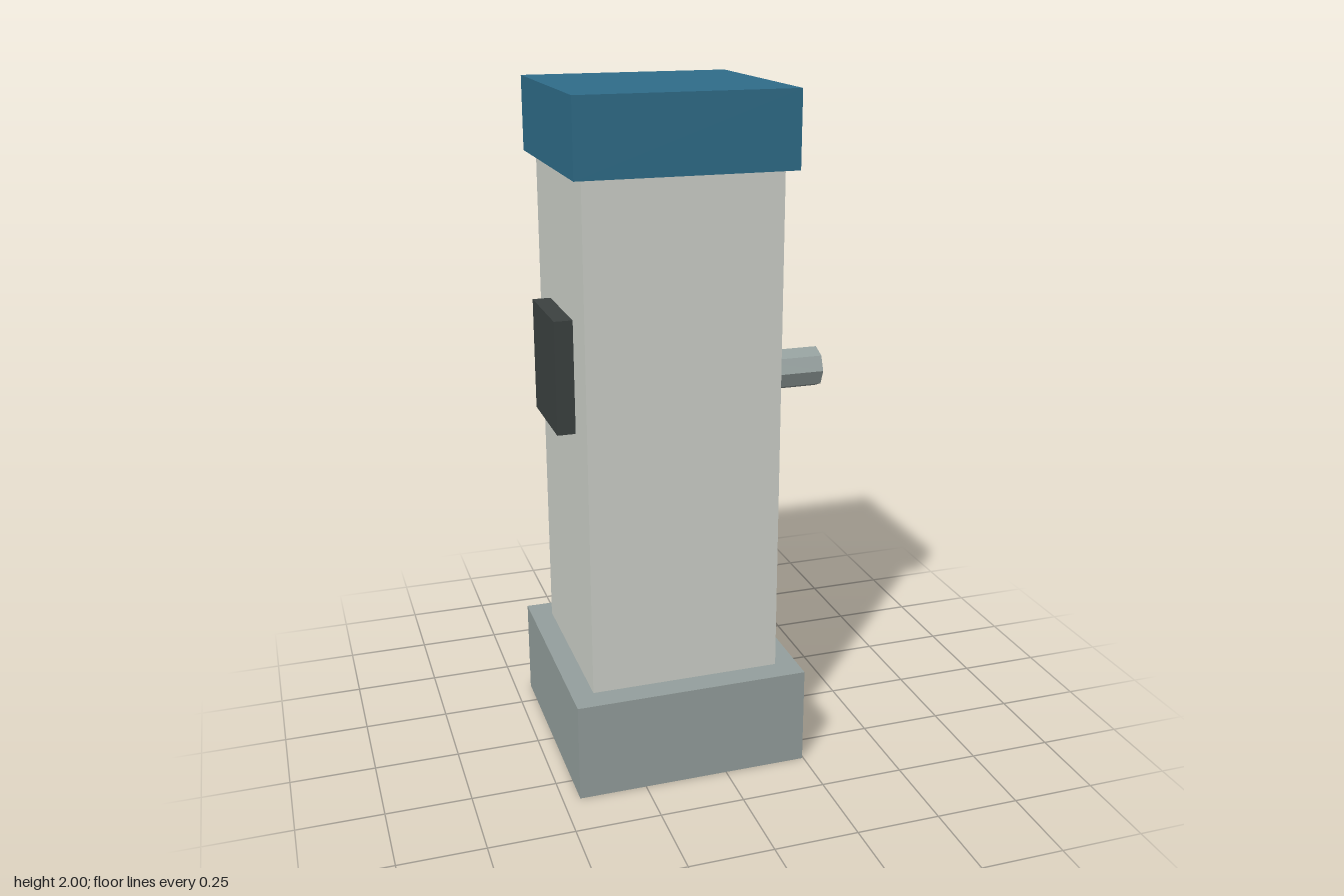
import * as THREE from 'three';

const AXIS_X = -0.102; // the tower stands off-centre to make room for the spout

function material(color) {
  return new THREE.MeshStandardMaterial({ color, flatShading: true });
}

export function createModel() {
  const group = new THREE.Group();
  const stone = material(0x95a09e);
  const wall = material(0xd0d3cc);
  const blue = material(0x2f6d8a);
  const dark = material(0x3c4241);

  function addBox(name, mat, width, depth, bottom, top, x = AXIS_X) {
    const mesh = new THREE.Mesh(new THREE.BoxGeometry(width, top - bottom, depth), mat);
    mesh.name = name;
    mesh.position.set(x, (bottom + top) / 2, 0);
    group.add(mesh);
  }

  // Plinth, shaft and cap
  addBox('base', stone, 0.696, 0.696, 0, 0.295);
  addBox('column', wall, 0.566, 0.546, 0.295, 1.785);
  addBox('cap', blue, 0.623, 0.623, 1.785, 2);

  // Dark panels on both sides
  for (const side of [-1, 1]) {
    addBox(side > 0 ? 'leftPanel' : 'rightPanel', dark, 0.053, 0.277, 1.048, 1.378,
      AXIS_X + side * 0.3095);
  }

  // Eight-sided spout, set just clear of the panel
  const spout = new THREE.Mesh(new THREE.CylinderGeometry(0.0635, 0.0635, 0.203, 8), stone);
  spout.name = 'spout';
  spout.rotation.z = -Math.PI / 2;
  spout.position.set(0.3485, 1.103, -0.112);
  group.add(spout);

  return group;
}
